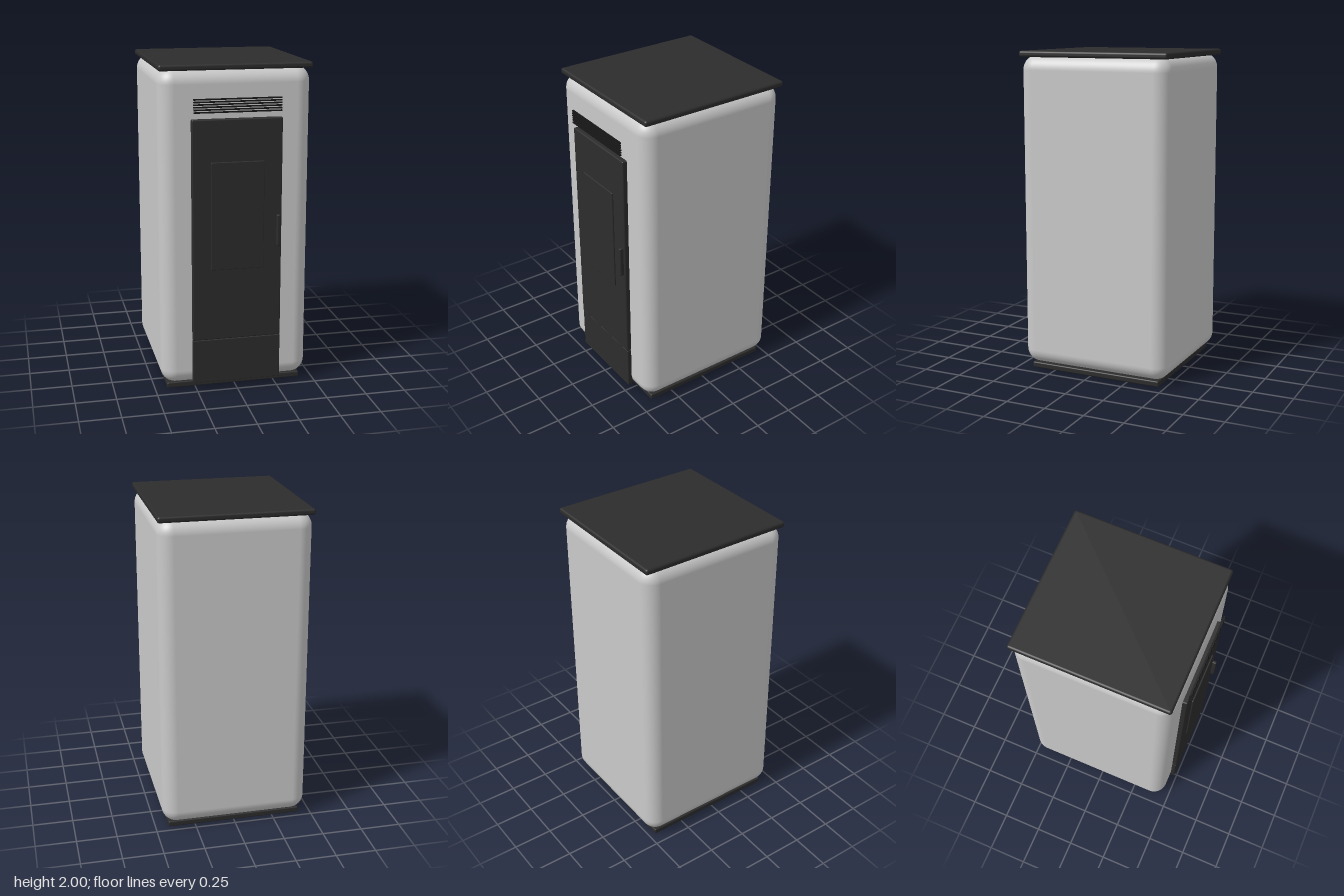
import * as THREE from 'three';
import { RoundedBoxGeometry } from 'three/addons/geometries/RoundedBoxGeometry.js';

const material = (name, color) => {
  const m = new THREE.MeshStandardMaterial({ color });
  m.name = name;
  return m;
};

export function createModel() {
  const model = new THREE.Group();
  model.name = 'stove';
  const casing = material('light grey casing', 0xcacaca);
  const iron = material('dark iron', 0x2c2c2c);
  const black = material('black vent', 0x161616);

  // Rounded block given by its extents on each axis
  const block = (name, mat, [x0, x1], [y0, y1], [z0, z1], radius, segments = 3) => {
    const size = [x1 - x0, y1 - y0, z1 - z0];
    const geometry = radius
      ? new RoundedBoxGeometry(...size, segments, radius)
      : new THREE.BoxGeometry(...size);
    const mesh = new THREE.Mesh(geometry, mat);
    mesh.name = name;
    mesh.position.set((x0 + x1) / 2, (y0 + y1) / 2, (z0 + z1) / 2);
    model.add(mesh);
    return mesh;
  };

  // Cabinet between base and top plates
  block('base', iron, [-0.425, 0.42], [0, 0.036], [-0.46, 0.41], 0.008);
  block('body', casing, [-0.46, 0.455], [0.036, 1.975], [-0.513, 0.46], 0.09, 8);
  block('topPlate', iron, [-0.46, 0.458], [1.963, 2], [-0.515, 0.455], 0.014);

  // Front door, lower panel, window and handle
  block('lowerPanel', iron, [-0.275, 0.27], [0.052, 0.328], [0.452, 0.486], 0.004);
  block('door', iron, [-0.275, 0.27], [0.33, 1.685], [0.452, 0.49], 0.008);
  block('window', iron, [-0.163, 0.159], [0.775, 1.432], [0.48, 0.499], 0.004);
  block('handle', iron, [0.237, 0.257], [0.907, 1.1], [0.48, 0.514], 0.006);

  // Vent slats above the door
  for (let i = 0; i < 6; i++) {
    const y = 1.723 + i * 0.0151;
    block('ventSlat', black, [-0.265, 0.261], [y, y + 0.008], [0.489, 0.5], 0);
  }
  return model;
}
